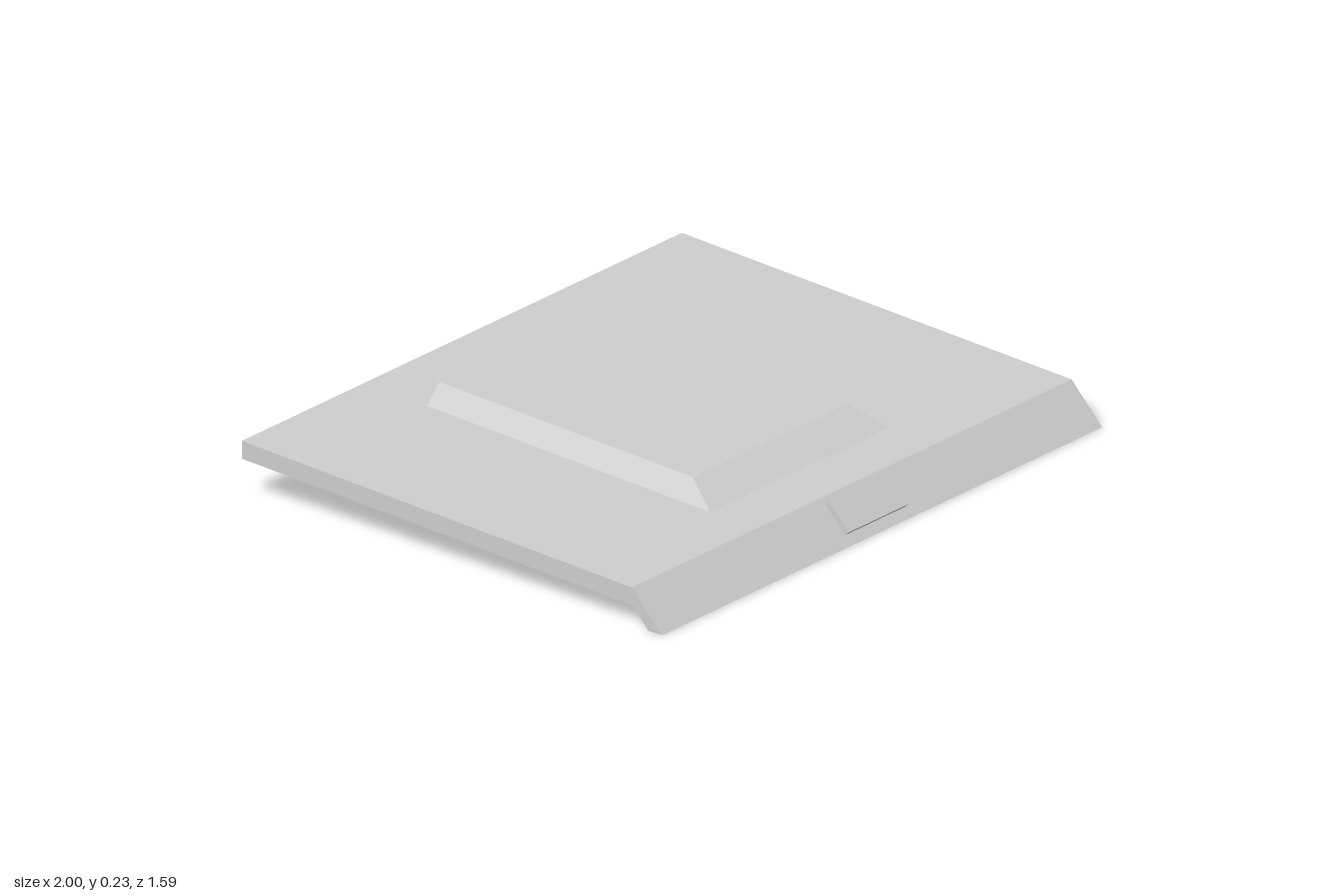
import * as THREE from 'three';

const material = new THREE.MeshStandardMaterial({ color: 0xcccccc, flatShading: true });

// Mesh from four-cornered faces, corners counter-clockwise from outside
function quadMesh(name, quads) {
  const pos = [];
  for (const [a, b, c, d] of quads) pos.push(...a, ...b, ...c, ...a, ...c, ...d);
  const g = new THREE.BufferGeometry();
  g.setAttribute('position', new THREE.Float32BufferAttribute(pos, 3));
  g.computeVertexNormals();
  const mesh = new THREE.Mesh(g, material);
  mesh.name = name;
  return mesh;
}

// Lengthwise sections of the panel as [y, z], front to back
const topRows = [[0, 0.795], [0.12, 0.68], [0.127, 0.51], [0.17, -0.56], [0.18, -0.795]];
const lowRows = [[0, 0.742], [0.063, 0.685], [0.07, 0.51], [0.114, -0.56], [0.123, -0.795]];
const cols = [-1, -0.44, 0.38, 1];

function buildPanel() {
  const top = (r, c) => [cols[c], ...topRows[r]];
  const low = (r, c) => [cols[c], ...lowRows[r]];
  const quads = [];
  for (let r = 0; r < 4; r++) {
    for (let c = 0; c < 3; c++) {
      if (r === 2 && c === 1) continue; // opening below the scoop
      quads.push([top(r, c), top(r, c + 1), top(r + 1, c + 1), top(r + 1, c)]);
      quads.push([low(r + 1, c), low(r + 1, c + 1), low(r, c + 1), low(r, c)]);
    }
    // Side edges
    quads.push([low(r, 3), low(r + 1, 3), top(r + 1, 3), top(r, 3)]);
    quads.push([low(r + 1, 0), low(r, 0), top(r, 0), top(r + 1, 0)]);
  }
  quads.push([low(0, 0), low(0, 3), top(0, 3), top(0, 0)]); // front edge
  quads.push([low(4, 3), low(4, 0), top(4, 0), top(4, 3)]); // back edge
  quads.push([low(3, 1), low(3, 2), top(3, 2), top(3, 1)]); // rear edge of opening
  return quadMesh('hoodPanel', quads);
}

// Raised shell with sloped front and sides, open at the back
function buildScoop() {
  const shell = (rows, drop) => {
    const [f, b] = [rows[2], rows[3]];
    return {
      base: [[-0.44, ...f], [0.38, ...f], [0.38, ...b], [-0.44, ...b]],
      roof: [[-0.385, 0.19 - drop, 0.4], [0.32, 0.19 - drop, 0.4],
        [0.32, 0.228 - drop, -0.56], [-0.385, 0.228 - drop, -0.56]],
    };
  };
  const faces = ({ base: p, roof: q }) => [
    [p[0], p[1], q[1], q[0]],
    [p[1], p[2], q[2], q[1]],
    [p[3], p[0], q[0], q[3]],
    [q[0], q[1], q[2], q[3]],
  ];
  const outer = shell(topRows, 0);
  const inner = shell(lowRows, 0.035);
  const quads = [...faces(outer), ...faces(inner).map((f) => f.reverse())];
  // Rim around the rear mouth
  const ro = [outer.base[2], outer.roof[2], outer.roof[3], outer.base[3]];
  const ri = [inner.base[2], inner.roof[2], inner.roof[3], inner.base[3]];
  for (let i = 0; i < 3; i++) quads.push([ro[i], ri[i], ri[i + 1], ro[i + 1]]);
  return quadMesh('scoop', quads);
}

// Small plate lying on the sloped front lip
function buildFrontPlate() {
  const section = [[0.026, 0.77], [0.04, 0.785], [0.117, 0.71], [0.103, 0.696]];
  const l = section.map((s) => [-0.14, ...s]);
  const r = section.map((s) => [0.135, ...s]);
  const quads = section.map((_, i) => {
    const j = (i + 1) % 4;
    return [l[i], r[i], r[j], l[j]];
  });
  quads.push([r[3], r[2], r[1], r[0]], [l[0], l[1], l[2], l[3]]);
  return quadMesh('frontPlate', quads);
}

export function createModel() {
  const model = new THREE.Group();
  model.name = 'hood';
  model.add(buildPanel(), buildScoop(), buildFrontPlate());
  return model;
}
